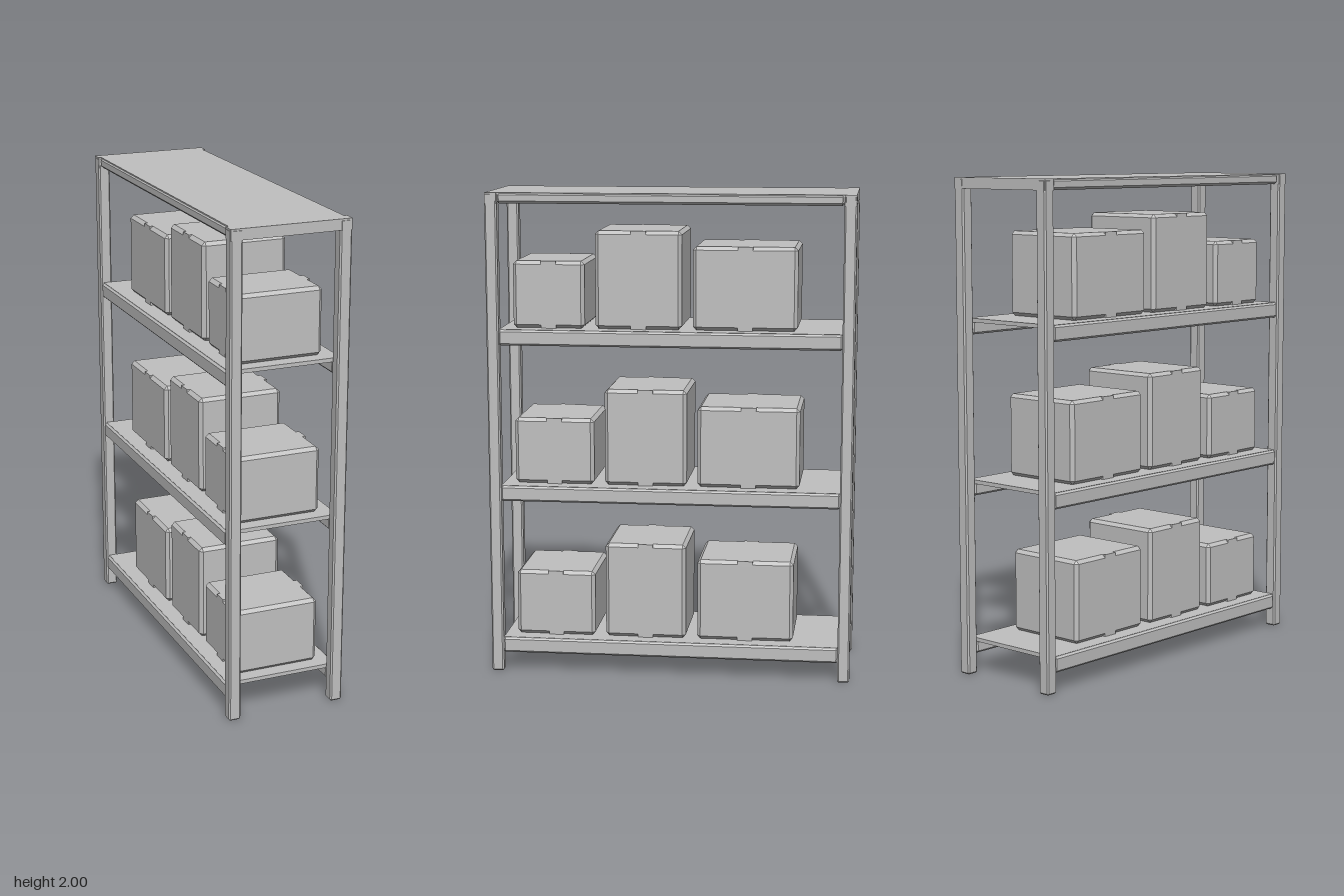
import * as THREE from 'three';
import { ConvexGeometry } from 'three/addons/geometries/ConvexGeometry.js';

const grey = new THREE.MeshStandardMaterial({ color: 0xc0c0c0 });
grey.name = 'light grey';

// Box between two corners with every edge cut by chamfer c
function chamferBox(name, min, max, c) {
  const points = [];
  const mid = min.map((v, i) => (v + max[i]) / 2);
  const half = min.map((v, i) => (max[i] - v) / 2);
  for (const sx of [-1, 1]) for (const sy of [-1, 1]) for (const sz of [-1, 1]) {
    for (let axis = 0; axis < 3; axis++) {
      const p = half.map((h, i) => (i === axis ? h : h - c));
      points.push(new THREE.Vector3(sx * p[0], sy * p[1], sz * p[2]));
    }
  }
  const mesh = new THREE.Mesh(new ConvexGeometry(points), grey);
  mesh.position.set(...mid);
  mesh.name = name;
  return mesh;
}

function plainBox(name, min, max) {
  const size = min.map((v, i) => max[i] - v);
  const mesh = new THREE.Mesh(new THREE.BoxGeometry(...size), grey);
  mesh.position.set(...min.map((v, i) => (v + max[i]) / 2));
  mesh.name = name;
  return mesh;
}

// Carton with flush closing tabs bridging the chamfers on both long sides
function carton(z0, z1, y0, y1) {
  const g = new THREE.Group();
  g.name = 'carton';
  const x = 0.178, mid = (z0 + z1) / 2;
  g.add(chamferBox('cartonBody', [-x, y0, z0], [x, y1, z1], 0.014));
  for (const s of [-1, 1]) {
    const a = s * (x - 0.02), b = s * x;
    for (const [lo, hi] of [[y0, y0 + 0.02], [y1 - 0.02, y1]]) {
      g.add(plainBox('closingTab', [Math.min(a, b), lo, mid - 0.031], [Math.max(a, b), hi, mid + 0.031]));
    }
  }
  return g;
}

export function createModel() {
  const model = new THREE.Group();
  model.name = 'storageRack';

  // Corner posts
  for (const x of [-0.223, 0.223]) for (const z of [-0.723, 0.723]) {
    model.add(chamferBox('post', [x - 0.025, 0, z - 0.025], [x + 0.025, 1.998, z + 0.025], 0.006));
  }

  // Top panel with its end and side rails
  model.add(plainBox('topPanel', [-0.235, 1.97, -0.745], [0.235, 2, 0.745]));
  for (const s of [-1, 1]) {
    model.add(plainBox('topEndRail', [-0.247, 1.956, s * 0.723 - 0.024], [0.247, 2, s * 0.723 + 0.024]));
    model.add(chamferBox('topSideRail', [s * 0.22 - 0.02, 1.956, -0.7], [s * 0.22 + 0.02, 2, 0.7], 0.01));
  }

  // Shelves: top height, then cartons as [z min, z max, height]
  const shelves = [
    [0.145, [[0.32, 0.65, 0.275], [-0.062, 0.275, 0.4], [-0.51, -0.11, 0.34]]],
    [0.795, [[0.32, 0.65, 0.275], [-0.065, 0.275, 0.4], [-0.53, -0.11, 0.335]]],
    [1.445, [[0.355, 0.65, 0.275], [-0.045, 0.31, 0.4], [-0.515, -0.09, 0.34]]],
  ];
  for (const [y, cartons] of shelves) {
    const shelf = new THREE.Group();
    shelf.name = 'shelf';
    shelf.add(plainBox('shelfPanel', [-0.235, y - 0.016, -0.698], [0.235, y, 0.698]));
    for (const s of [-1, 1]) {
      shelf.add(chamferBox('shelfBeam', [s * 0.222 - 0.022, y - 0.065, -0.7], [s * 0.222 + 0.022, y - 0.001, 0.7], 0.008));
    }
    for (const [z0, z1, h] of cartons) shelf.add(carton(z0, z1, y, y + h));
    model.add(shelf);
  }
  return model;
}
